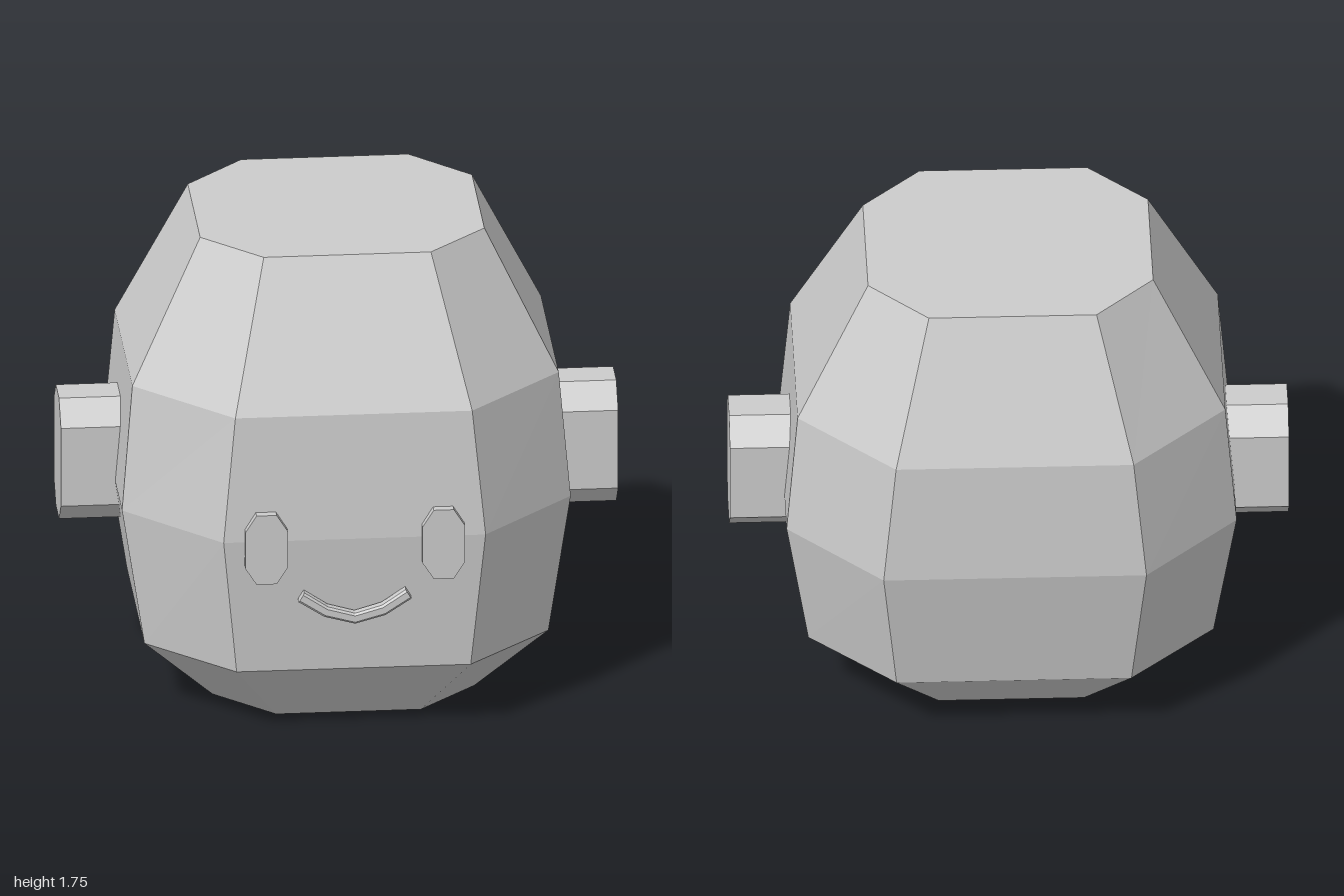
import * as THREE from 'three';

const grey = new THREE.MeshStandardMaterial({ color: 0xcccccc });
grey.name = 'plain grey';

// Octagon with outer limits [u0,u1] x [v0,v1] and flat-side limits [a0,a1], [b0,b1], counterclockwise
const octagon = (u0, u1, a0, a1, v0, v1, b0, b1) => [
  [u1, b0], [u1, b1], [a1, v1], [a0, v1], [u0, b1], [u0, b0], [a0, v0], [a1, v0],
];

// Faceted solid joining equal cross-sections, with flat ends
function loft(rings, name) {
  const pos = [];
  const tri = (...pts) => pts.forEach((p) => pos.push(...p));
  const n = rings[0].length;
  for (let r = 0; r < rings.length - 1; r++) {
    const a = rings[r], b = rings[r + 1];
    for (let i = 0; i < n; i++) {
      const j = (i + 1) % n;
      tri(a[i], a[j], b[j]);
      tri(a[i], b[j], b[i]);
    }
  }
  const first = rings[0], last = rings[rings.length - 1];
  for (let i = 1; i < n - 1; i++) {
    tri(first[0], first[i + 1], first[i]);
    tri(last[0], last[i], last[i + 1]);
  }
  const geometry = new THREE.BufferGeometry();
  geometry.setAttribute('position', new THREE.Float32BufferAttribute(pos, 3));
  geometry.computeVertexNormals();
  const mesh = new THREE.Mesh(geometry, grey);
  mesh.name = name;
  return mesh;
}

export function createModel() {
  const model = new THREE.Group();
  model.name = 'robotHead';

  // Head: y, half width, flat half width, back z, front z, flat back z, flat front z
  const levels = [
    [0, 0.47, 0.26, -0.385, 0.465, -0.195, 0.255],
    [0.255, 0.725, 0.42, -0.64, 0.68, -0.34, 0.38],
    [0.77, 0.805, 0.47, -0.745, 0.72, -0.405, 0.38],
    [1.235, 0.765, 0.425, -0.725, 0.685, -0.385, 0.345],
    [1.745, 0.51, 0.3, -0.515, 0.42, -0.3, 0.21],
  ];
  model.add(loft(levels.map(([y, w, f, z0, z1, b0, b1]) =>
    octagon(z0, z1, b0, b1, -w, w, -f, f).map(([z, x]) => [x, y, z])), 'head'));

  for (const side of [1, -1]) {
    const label = side > 0 ? 'left' : 'right';

    // Ear block
    const earShape = octagon(0.6, 1.065, 0.68, 0.98, -0.195, 0.1, -0.11, 0.02);
    const ends = side > 0 ? [0.7, 1] : [-1, -0.7];
    model.add(loft(ends.map((x) => earShape.map(([y, z]) => [x, y, z])), label + 'Ear'));

    // Eye
    const cx = side * 0.318;
    const eyeShape = octagon(cx - 0.076, cx + 0.076, cx - 0.036, cx + 0.036, 0.615, 0.88, 0.677, 0.817);
    model.add(loft([0.695, 0.745].map((z) => eyeShape.map(([x, y]) => [x, y, z])), label + 'Eye'));
  }

  // Smile: bottom x, bottom y, top x, top y along a shallow curve
  const smile = [
    [-0.203, 0.54, -0.182, 0.575], [-0.11, 0.48, -0.097, 0.518], [0, 0.45, 0, 0.49],
    [0.11, 0.48, 0.097, 0.518], [0.203, 0.54, 0.182, 0.575],
  ];
  const section = [[0, 0.708], [1, 0.708], [1, 0.738], [0.8, 0.745], [0.2, 0.745], [0, 0.738]];
  model.add(loft(smile.map(([x0, y0, x1, y1]) =>
    section.map(([t, z]) => [x0 + (x1 - x0) * t, y0 + (y1 - y0) * t, z])), 'mouth'));

  return model;
}
